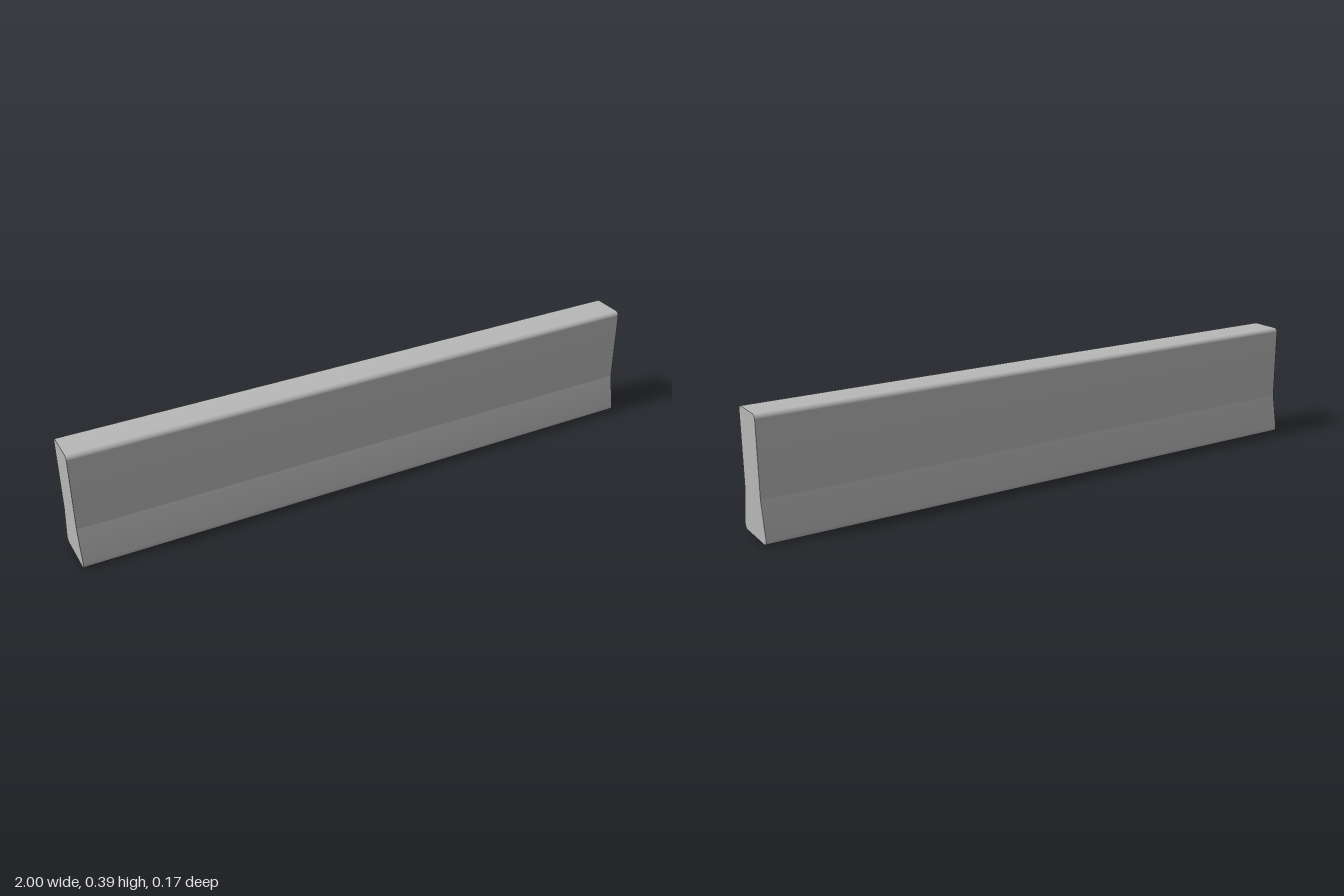
import * as THREE from 'three';
import { toCreasedNormals } from 'three/addons/utils/BufferGeometryUtils.js';

const LENGTH = 2, HEIGHT = 0.391;
const TOP_HALF = 0.063, BASE_HALF = 0.0855, BEND_Y = 0.135;
const RADIUS = 0.016, FLARE = 0.189; // corner radius, tilt of the flared foot

// Cross-section: upright wall on a flared foot, with rounded corners
function barrierProfile() {
  const shape = new THREE.Shape();
  const quarter = Math.PI / 2;
  const topX = TOP_HALF - RADIUS, topY = HEIGHT - RADIUS, baseX = BASE_HALF - RADIUS;
  shape.absarc(baseX, RADIUS, RADIUS, -quarter, FLARE);
  shape.lineTo(TOP_HALF, BEND_Y);
  shape.absarc(topX, topY, RADIUS, 0, quarter);
  shape.absarc(-topX, topY, RADIUS, quarter, Math.PI);
  shape.lineTo(-TOP_HALF, BEND_Y);
  shape.absarc(-baseX, RADIUS, RADIUS, Math.PI - FLARE, 3 * quarter);
  shape.closePath();
  return shape;
}

export function createModel() {
  const concrete = new THREE.MeshStandardMaterial({ color: 0xb8b8b8 });
  concrete.name = 'concrete grey';

  // Run the cross-section along x
  const geometry = new THREE.ExtrudeGeometry(barrierProfile(), {
    depth: LENGTH, bevelEnabled: false, curveSegments: 12,
  });
  geometry.translate(0, 0, -LENGTH / 2);
  geometry.rotateY(Math.PI / 2);

  // Smooth corners, crisp bend and ends
  const barrier = new THREE.Mesh(toCreasedNormals(geometry, 0.16), concrete);
  barrier.name = 'barrierWall';

  const group = new THREE.Group();
  group.name = 'barrier';
  group.add(barrier);
  return group;
}
